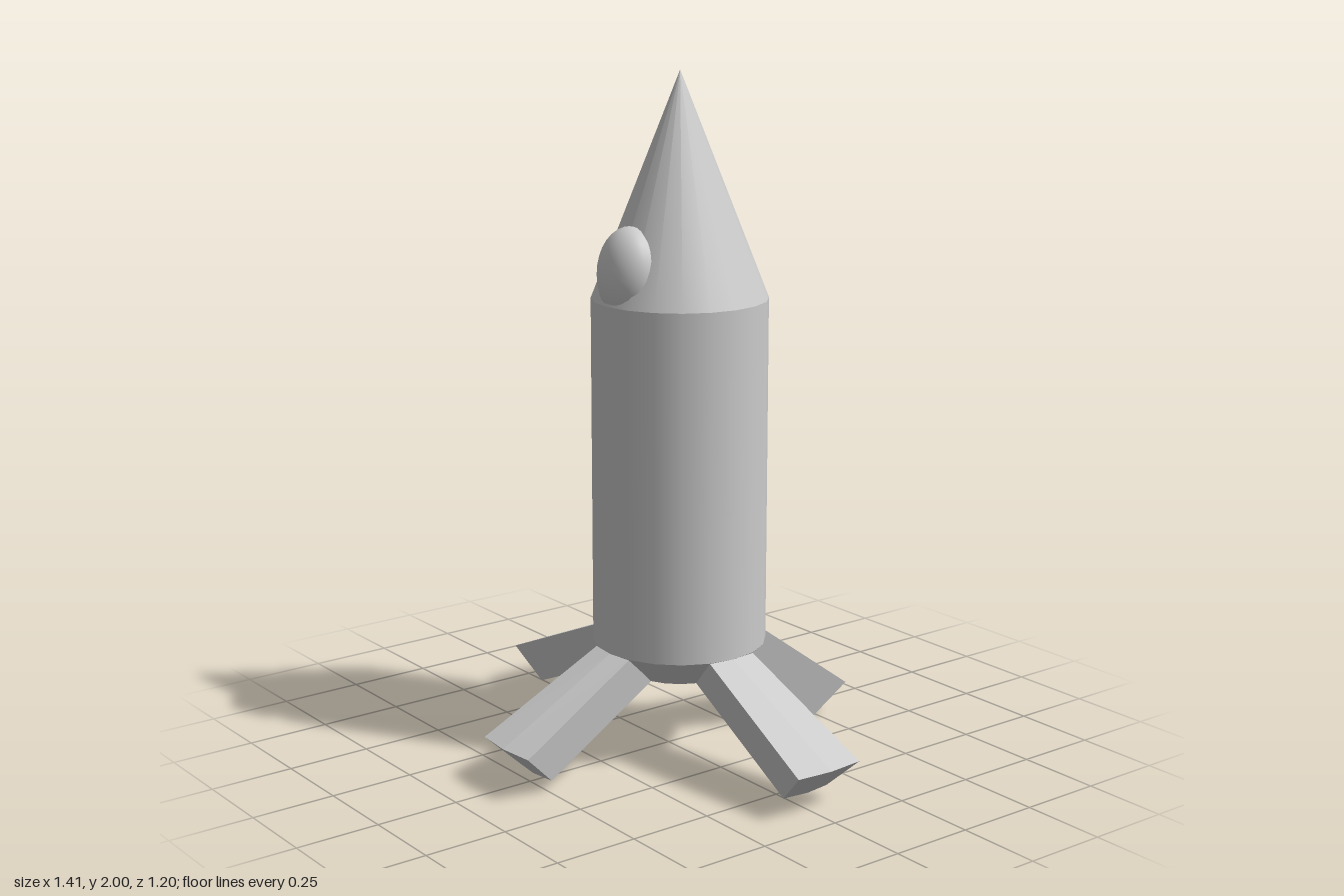
import * as THREE from 'three';

const SIDES = 20, CX = 0.02, CZ = -0.025;
const R = 0.255, R_BASE = 0.15, Y_BASE = 0.24, Y_LOW = 0.335, Y_HIGH = 1.355, Y_TIP = 2;
const smooth = new THREE.MeshStandardMaterial({ color: 0xcccccc });
const flat = new THREE.MeshStandardMaterial({ color: 0xcccccc, flatShading: true, side: THREE.DoubleSide });

// Leg pointing along +x, swept out from two facets of the hull's lower bevel
function legGeometry(reach, tipY) {
  const section = (topR, topY, topW, lowR, lowY, lowW, bulge) => [
    [topR - bulge, topY, -topW], [topR, topY, 0], [topR - bulge, topY, topW],
    [lowR - bulge, lowY, lowW], [lowR, lowY, 0], [lowR - bulge, lowY, -lowW],
  ];
  const inner = section(R, Y_LOW, 0.079, R_BASE, Y_BASE, 0.047, 0.01);
  const outer = section(reach, tipY, 0.111, reach - 0.1, tipY - 0.096, 0.079, 0.01);
  const index = [];
  for (let i = 0; i < 6; i++) {
    const j = (i + 1) % 6;
    index.push(i, j, j + 6, i, j + 6, i + 6);
  }
  // Foot end cap
  index.push(6, 7, 10, 6, 10, 11, 7, 8, 9, 7, 9, 10);
  const g = new THREE.BufferGeometry();
  g.setAttribute('position', new THREE.Float32BufferAttribute([...inner, ...outer].flat(), 3));
  g.setIndex(index);
  const out = g.toNonIndexed();
  out.computeVertexNormals();
  return out;
}

export function createModel() {
  const group = new THREE.Group();
  const add = (name, geometry, material, x, y, z) => {
    const mesh = new THREE.Mesh(geometry, material);
    mesh.name = name;
    mesh.position.set(x, y, z);
    group.add(mesh);
    return mesh;
  };

  // Hull: base bevel, barrel and nose share one axis
  const hullPart = (name, rTop, rBottom, y0, y1, open) => add(name,
    new THREE.CylinderGeometry(rTop, rBottom, y1 - y0, SIDES, 1, open), smooth, CX, (y0 + y1) / 2, CZ);
  hullPart('baseBevel', R, R_BASE, Y_BASE, Y_LOW, false);
  hullPart('barrel', R, R, Y_LOW, Y_HIGH, true);
  hullPart('noseCone', 0, R, Y_HIGH, Y_TIP, true);

  // Bulging window set into the nose
  const porthole = add('window', new THREE.SphereGeometry(1, 24, 16), smooth, CX, 1.435, 0.15);
  porthole.scale.set(0.105, 0.14, 0.09);

  // Four splayed legs, each with its own reach and tip height
  const legs = [
    ['leftLeg', 0, 0.685, 0.131],
    ['backLeg', Math.PI / 2, 0.575, 0.098],
    ['rightLeg', Math.PI, 0.725, 0.131],
    ['frontLeg', -Math.PI / 2, 0.628, 0.131],
  ];
  for (const [name, turn, reach, tipY] of legs) {
    add(name, legGeometry(reach, tipY), flat, CX, 0, CZ).rotation.y = turn;
  }
  return group;
}
